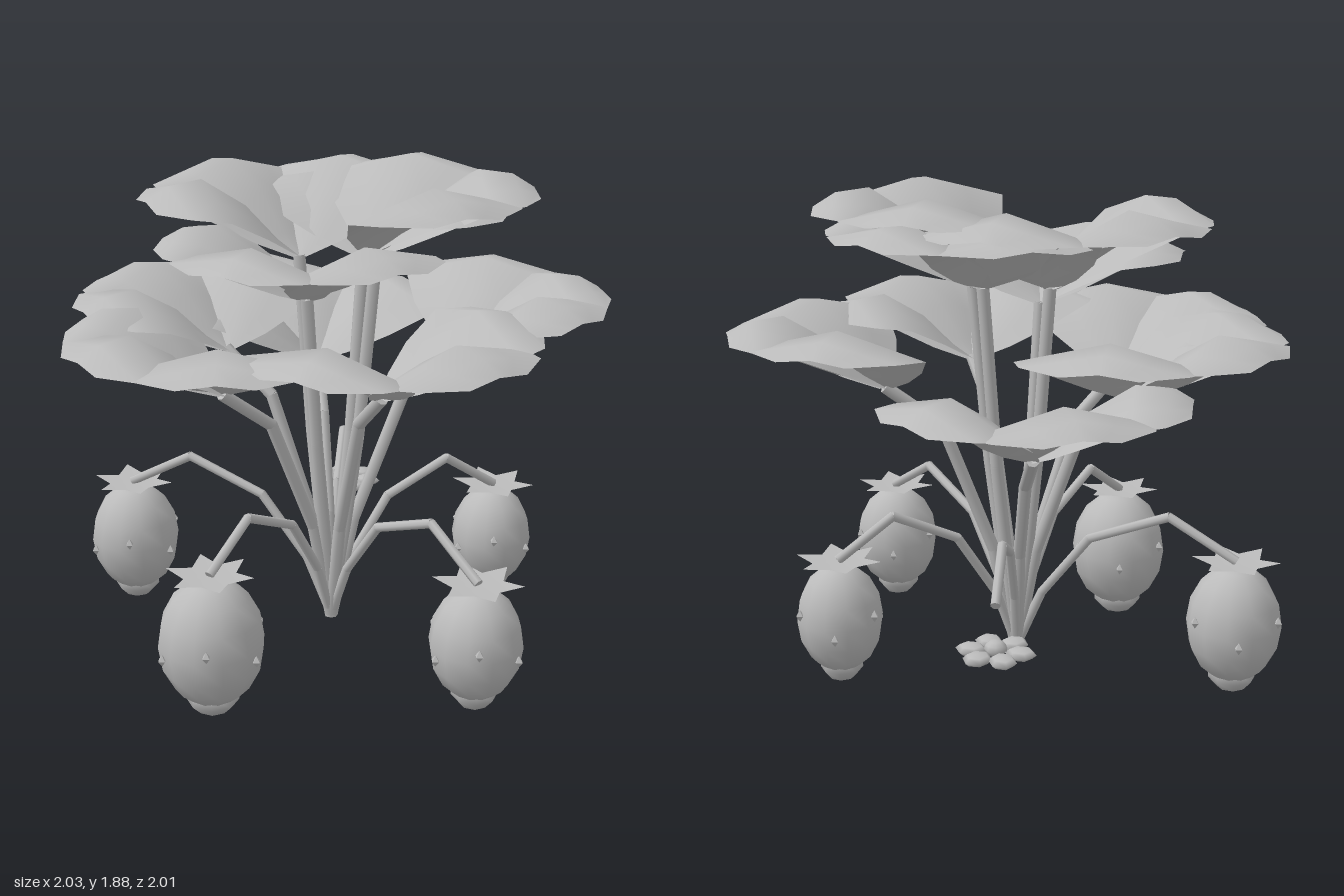
import * as THREE from 'three';

const grey = new THREE.MeshStandardMaterial({ color: 0xbbbbbb, side: THREE.DoubleSide });
grey.name = 'plain grey';

const BASE = [0.04, 0.1, 0];

function add(parent, name, geometry, pos = [0, 0, 0], scale = [1, 1, 1]) {
  const mesh = new THREE.Mesh(geometry, grey);
  mesh.name = name;
  mesh.position.set(...pos);
  mesh.scale.set(...scale);
  parent.add(mesh);
  return mesh;
}

function surface(pos, index) {
  const geo = new THREE.BufferGeometry();
  geo.setAttribute('position', new THREE.Float32BufferAttribute(pos, 3));
  geo.setIndex(index);
  geo.computeVertexNormals();
  return geo;
}

// jointed stem: one cylinder per straight run
function stem(parent, name, points, radius) {
  const group = new THREE.Group();
  group.name = name;
  const up = new THREE.Vector3(0, 1, 0);
  for (let i = 0; i < points.length - 1; i++) {
    const a = new THREE.Vector3(...points[i]);
    const b = new THREE.Vector3(...points[i + 1]);
    const d = b.clone().sub(a);
    const geo = new THREE.CylinderGeometry(radius, radius * (i ? 1 : 1.15), d.length() + 0.008, 7);
    const m = add(group, 'stemSegment', geo, a.clone().add(b).multiplyScalar(0.5).toArray());
    m.quaternion.setFromUnitVectors(up, d.normalize());
  }
  parent.add(group);
}

// point between the base and an end, at a given sideways fraction and height
const along = (end, f, y) => [BASE[0] + (end[0] - BASE[0]) * f, y, end[2] * f];

// leaflet cross-sections: distance, half width, midrib height, edge height
const ROWS = [
  [0, 0.03, 0, 0],
  [0.08, 0.13, 0.06, 0.045],
  [0.2, 0.24, 0.18, 0.115],
  [0.36, 0.33, 0.275, 0.195],
  [0.48, 0.28, 0.26, 0.205],
  [0.56, 0.13, 0.215, 0.2],
];
function leafletGeometry() {
  const pos = [], index = [];
  ROWS.forEach(([u, w, mid, edge], r) => {
    for (let c = 0; c < 5; c++) {
      const v = c / 2 - 1;
      pos.push(u, mid + (edge - mid) * Math.abs(v), v * w);
      if (r < ROWS.length - 1 && c < 4) {
        const a = r * 5 + c;
        index.push(a, a + 1, a + 5, a + 1, a + 6, a + 5);
      }
    }
  });
  return surface(pos, index);
}

// three-lobed leaf, heading given in degrees from +x towards +z
function leaf(parent, geo, apex, heading, size, lift, spread) {
  const group = new THREE.Group();
  group.name = 'leaf';
  for (const side of [-1, 0, 1]) {
    const m = add(group, 'leaflet', geo, apex, [size, lift, size]);
    m.rotation.y = -THREE.MathUtils.degToRad(heading + side * spread);
  }
  parent.add(group);
}

// star of six broad sepals, slightly dished
function calyxGeometry() {
  const pos = [0, 0, 0], index = [];
  for (let i = 0; i < 12; i++) {
    const a = (i / 12) * Math.PI * 2, r = i % 2 ? 0.58 : 1;
    pos.push(Math.cos(a) * r, i % 2 ? 0.03 : 0.1, Math.sin(a) * r);
    index.push(0, 1 + ((i + 1) % 12), 1 + i);
  }
  return surface(pos, index);
}

function fruit(parent, x, z, r, bottom) {
  const group = new THREE.Group();
  group.name = 'fruit';
  group.position.set(x, 0, z);
  const low = bottom + 0.04, top = 0.535;
  const cy = (low + top) / 2, ry = (top - low) / 2;
  add(group, 'fruitBody', new THREE.SphereGeometry(1, 12, 8), [0, cy, 0], [r, ry, r]);
  add(group, 'fruitTip', new THREE.SphereGeometry(1, 8, 5), [0, bottom + 0.075, 0], [r * 0.52, 0.075, r * 0.52]);
  add(group, 'calyx', calyxGeometry(), [0, 0.54, 0], [0.165, 0.16, 0.165]);
  // seeds at two alternating heights
  for (let i = 0; i < 6; i++) {
    const a = THREE.MathUtils.degToRad(77 + i * 60);
    const y = i % 2 ? cy + 0.035 : cy - 0.03;
    const rr = r * Math.sqrt(1 - ((y - cy) / ry) ** 2);
    add(group, 'seed', new THREE.OctahedronGeometry(1), [Math.cos(a) * rr, y, Math.sin(a) * rr], [0.017, 0.023, 0.017]);
  }
  parent.add(group);
}

function flower(parent, x, y, z) {
  const group = new THREE.Group();
  group.name = 'flower';
  group.position.set(x, y, z);
  add(group, 'flowerCentre', new THREE.SphereGeometry(1, 8, 6), [0, 0.012, 0], [0.04, 0.03, 0.04]);
  for (let i = 0; i < 6; i++) {
    const a = (i / 6) * Math.PI * 2;
    const m = add(group, 'petal', new THREE.SphereGeometry(1, 6, 4), [Math.cos(a) * 0.088, 0, Math.sin(a) * 0.088], [0.056, 0.02, 0.05]);
    m.rotation.y = -a;
  }
  parent.add(group);
}

export function createModel() {
  const model = new THREE.Group();
  model.name = 'berryPlant';
  const leaflet = leafletGeometry();

  // lower leaves on bent stems: apex, heading, size, lobe spread
  const lower = [
    [[-0.1, 1.14, -0.43], 264, 1.02, 66],
    [[0.37, 1.0, -0.4], 300, 0.97, 66],
    [[0.45, 1.16, 0.27], 33, 1, 56],
    [[-0.14, 1.15, 0.42], 96, 1, 72],
    [[-0.44, 1.12, -0.08], 191, 1, 57],
  ];
  for (const [apex, heading, size, spread] of lower) {
    leaf(model, leaflet, apex, heading, size, 1.03, spread);
    stem(model, 'leafStem', [BASE, along(apex, 0.18, 0.5), along(apex, 0.57, apex[1] - 0.16), apex], 0.024);
  }

  // upper leaves on nearly straight stems: apex, heading, size, lift, lobe spread
  const upper = [
    [[0.14, 1.57, 0.13], 42, 1.02, 1.12, 64],
    [[-0.12, 1.43, 0.03], 168, 0.95, 0.95, 68],
    [[0.04, 1.53, -0.17], 272, 1.04, 1.15, 68],
    [[0.21, 1.53, 0], 2, 1, 1, 64],
  ];
  for (const [apex, heading, size, lift, spread] of upper) {
    leaf(model, leaflet, apex, heading, size, lift, spread);
    stem(model, 'leafStem', [BASE, along(apex, 0.62, 0.85), apex], 0.024);
  }

  // fruit and flower on arching stems
  const arch = (end) => stem(model, 'fruitStem',
    [BASE, along(end, 0.12, 0.33), along(end, 0.34, 0.57), along(end, 0.7, 0.69), end], 0.018);
  const fruits = [
    [-0.68, 0.1, 0.195, 0],
    [-0.31, -0.78, 0.177, 0.04],
    [-0.07, 0.82, 0.17, 0.06],
    [0.69, 0.28, 0.16, 0.075],
  ];
  for (const [x, z, r, bottom] of fruits) {
    fruit(model, x, z, r, bottom);
    arch([x, 0.55, z]);
  }
  flower(model, 0.61, 0.385, -0.455);
  arch([0.61, 0.555, -0.455]);
  return model;
}
